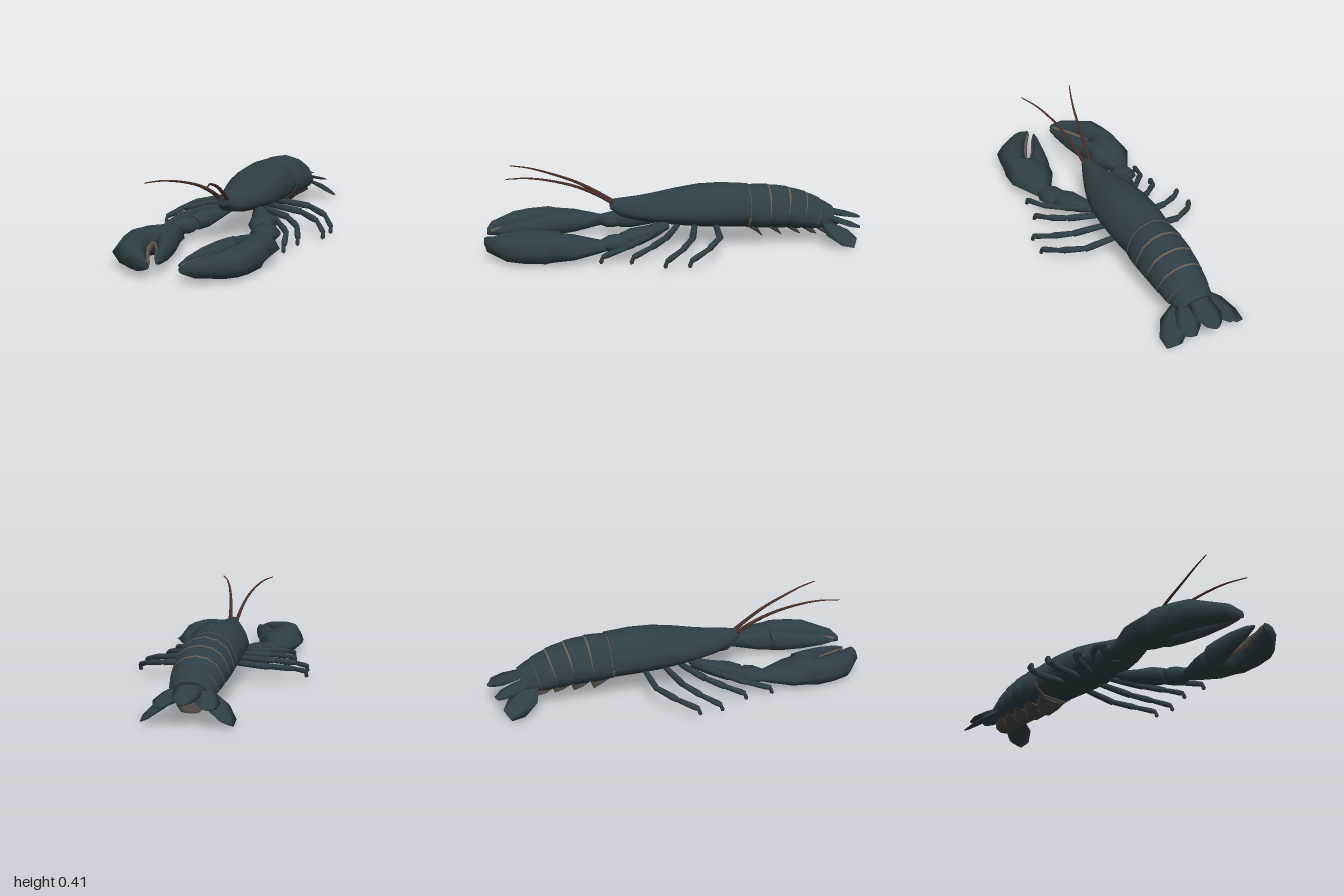
import * as THREE from 'three';

const shell = new THREE.MeshStandardMaterial({ color: 0x2f3f46, side: THREE.DoubleSide });
const pale = new THREE.MeshStandardMaterial({ color: 0x665c53, side: THREE.DoubleSide });
const belly = new THREE.MeshStandardMaterial({ color: 0x4a4641, side: THREE.DoubleSide });
const feeler = new THREE.MeshStandardMaterial({ color: 0x4a302a });

// Unit cross-sections, counter-clockwise, each coordinate in -1..1
const ARCH = [[0, 1], [-0.4, 0.88], [-0.74, 0.55], [-0.93, 0], [-1, -0.4], [-0.85, -0.75], [-0.55, -1],
  [0.55, -1], [0.85, -0.75], [1, -0.4], [0.93, 0], [0.74, 0.55], [0.4, 0.88]];
const LENS = [[1, 0], [0.6, 0.78], [0, 1], [-0.6, 0.78], [-1, 0], [-0.6, -0.78], [0, -1], [0.6, -0.78]];
const HEX = [[1, 0], [0.5, 0.87], [-0.5, 0.87], [-1, 0], [-0.5, -0.87], [0.5, -0.87]];

// Closed skin through equal rings of points; winding is turned so it always faces outward
function loft(name, rings, material, parent) {
  const n = rings[0].length, pos = [], idx = [];
  rings.forEach((r) => r.forEach((p) => pos.push(p.x, p.y, p.z)));
  for (let i = 0; i < rings.length - 1; i++) {
    for (let j = 0; j < n; j++) {
      const a = i * n + j, b = i * n + (j + 1) % n;
      idx.push(a, b, b + n, a, b + n, a + n);
    }
  }
  // end caps with their own vertices keep the rim crisp
  [[rings[0], true], [rings[rings.length - 1], false]].forEach(([r, first]) => {
    const base = pos.length / 3, c = new THREE.Vector3();
    r.forEach((p) => { pos.push(p.x, p.y, p.z); c.addScaledVector(p, 1 / n); });
    pos.push(c.x, c.y, c.z);
    for (let j = 0; j < n; j++) {
      const a = base + j, b = base + (j + 1) % n;
      idx.push(base + n, first ? b : a, first ? a : b);
    }
  });
  const v = (i) => new THREE.Vector3().fromArray(pos, i * 3).sub(rings[0][0]);
  let volume = 0;
  for (let i = 0; i < idx.length; i += 3) volume += v(idx[i]).dot(v(idx[i + 1]).cross(v(idx[i + 2])));
  if (volume < 0) idx.reverse();
  const g = new THREE.BufferGeometry();
  g.setAttribute('position', new THREE.Float32BufferAttribute(pos, 3));
  g.setIndex(idx);
  g.computeVertexNormals();
  const mesh = new THREE.Mesh(g, material);
  mesh.name = name;
  parent.add(mesh);
  return mesh;
}

// Upright rings given as [x0, x1, y0, y1, z]; s mirrors across x
const slabs = (list, profile, s = 1) => list.map(([x0, x1, y0, y1, z]) => profile.map(([u, w]) =>
  new THREE.Vector3(s * ((x0 + x1) / 2 + u * (x1 - x0) / 2), (y0 + y1) / 2 + w * (y1 - y0) / 2, z)));

// Rings square to a path given as [x, y, z, halfWidth, halfHeight]
function along(list, profile, s = 1) {
  const pts = list.map(([x, y, z]) => new THREE.Vector3(s * x, y, z));
  return list.map(([, , , w, h], i) => {
    const t = pts[Math.min(i + 1, pts.length - 1)].clone().sub(pts[Math.max(i - 1, 0)]).normalize();
    const side = new THREE.Vector3(0, 1, 0).cross(t).normalize();
    const up = t.clone().cross(side);
    return profile.map(([a, b]) => pts[i].clone().addScaledVector(side, a * w).addScaledVector(up, b * h));
  });
}

function group(name, parent) {
  const g = new THREE.Group();
  g.name = name;
  parent.add(g);
  return g;
}

function addBody(root) {
  loft('carapace', slabs([
    [-0.025, 0.025, 0.205, 0.255, 0.35], [-0.05, 0.05, 0.165, 0.262, 0.29], [-0.085, 0.085, 0.145, 0.27, 0.2],
    [-0.118, 0.118, 0.135, 0.285, 0.1], [-0.14, 0.14, 0.125, 0.305, 0], [-0.15, 0.15, 0.115, 0.325, -0.12],
    [-0.15, 0.15, 0.11, 0.33, -0.24], [-0.138, 0.138, 0.105, 0.322, -0.38],
  ], ARCH), shell, root);

  // Abdomen: overlapping rings with pale seams
  const abdomen = group('abdomen', root);
  const path = [[0.208, -0.375, 0.138, 0.108], [0.206, -0.48, 0.143, 0.108], [0.197, -0.58, 0.138, 0.102],
    [0.178, -0.67, 0.129, 0.093], [0.155, -0.75, 0.115, 0.078], [0.135, -0.83, 0.09, 0.052]];
  for (let i = 0; i < path.length - 1; i++) {
    const [y, z, w, h] = path[i], [y2, z2, w2, h2] = path[i + 1];
    const at = (k, grow) => [0, y + (y2 - y) * k, z + (z2 - z) * k,
      (w + (w2 - w) * k) * grow, (h + (h2 - h) * k) * grow];
    loft('abdomenRing', along([at(0, 0.95), at(0.12, 0.99), at(0.5, 1.02), at(1.03, 1.02)], ARCH), shell, abdomen);
    loft('abdomenSeam', along([at(-0.05, 1), at(0.07, 1)], ARCH), pale, abdomen);
    // belly plate leaning back and down
    const b = y - h + 0.012;
    loft('bellyPlate', slabs([
      [-w * 0.65, w * 0.65, b - 0.025, b + 0.02, z - 0.01],
      [-w * 0.6, w * 0.6, b - 0.05, b - 0.01, z - 0.05],
      [-0.04, 0.04, b - 0.078 + i * 0.006, b - 0.068 + i * 0.006, z - 0.085],
    ], LENS), belly, abdomen);
  }

  // Tail fan: one middle plate and two drooping plates on each side
  const fan = group('tailFan', root);
  loft('middleTailPlate', along([[0, 0.165, -0.79, 0.045, 0.012], [0, 0.155, -0.85, 0.062, 0.012],
    [0, 0.137, -0.93, 0.066, 0.01], [0, 0.125, -0.98, 0.04, 0.008], [0, 0.12, -1, 0.012, 0.004]], HEX), shell, fan);
  for (const s of [1, -1]) {
    loft('innerTailPlate', along([[0.05, 0.145, -0.79, 0.03, 0.01], [0.075, 0.128, -0.85, 0.052, 0.01],
      [0.1, 0.108, -0.92, 0.056, 0.008], [0.115, 0.095, -0.97, 0.025, 0.004]], HEX, s), shell, fan);
    // outer plates are rolled so the outside edge hangs low
    const rings = along([[0.07, 0.125, -0.78, 0.03, 0.01], [0.12, 0.095, -0.82, 0.065, 0.01],
      [0.155, 0.075, -0.88, 0.066, 0.008], [0.18, 0.06, -0.93, 0.035, 0.005]], HEX, s);
    rings.flat().forEach((p) => { p.y -= Math.max(0, Math.abs(p.x) - 0.12) * 0.55; });
    loft('outerTailPlate', rings, shell, fan);
  }
}

function addClawArm(root, s) {
  const arm = group(s > 0 ? 'leftClawArm' : 'rightClawArm', root);
  loft('upperArm', along([[0.08, 0.13, 0.06, 0.03, 0.025], [0.125, 0.11, 0.14, 0.05, 0.035],
    [0.165, 0.095, 0.23, 0.072, 0.045], [0.19, 0.085, 0.29, 0.06, 0.038]], LENS, s), shell, arm);
  loft('wrist', along([[0.195, 0.085, 0.27, 0.045, 0.03], [0.212, 0.083, 0.31, 0.075, 0.042],
    [0.225, 0.08, 0.35, 0.075, 0.042], [0.24, 0.078, 0.4, 0.045, 0.028]], LENS, s), shell, arm);
  loft('palmAndFixedFinger', slabs([
    [0.2, 0.275, 0.05, 0.1, 0.37], [0.185, 0.305, 0.04, 0.11, 0.42], [0.12, 0.37, 0.018, 0.132, 0.54],
    [0.105, 0.37, 0.006, 0.145, 0.64], [0.215, 0.36, 0.004, 0.147, 0.68], [0.182, 0.346, 0.004, 0.145, 0.79],
    [0.145, 0.33, 0.012, 0.137, 0.87], [0.085, 0.195, 0.035, 0.112, 0.98], [0.07, 0.1, 0.055, 0.09, 1],
  ], LENS, s), shell, arm);
  loft('movingFinger', slabs([
    [0.107, 0.23, 0.02, 0.135, 0.61], [0.09, 0.21, 0.018, 0.137, 0.68], [0.07, 0.14, 0.03, 0.127, 0.79],
    [0.055, 0.092, 0.05, 0.108, 0.9], [0.05, 0.062, 0.07, 0.085, 0.96],
  ], LENS, s), shell, arm);
  // pale biting edges facing the slit
  loft('fixedBitingEdge', slabs([[0.21, 0.23, 0.06, 0.09, 0.68], [0.174, 0.2, 0.055, 0.095, 0.79],
    [0.137, 0.17, 0.06, 0.09, 0.87], [0.077, 0.1, 0.065, 0.085, 0.98]], HEX, s), pale, arm);
  loft('movingBitingEdge', slabs([[0.19, 0.216, 0.06, 0.09, 0.68], [0.12, 0.147, 0.06, 0.095, 0.79],
    [0.075, 0.098, 0.068, 0.09, 0.9], [0.056, 0.065, 0.074, 0.082, 0.955]], HEX, s), pale, arm);
}

// Walking legs as [x, z] of hip, knee, ankle, tip
const LEGS = [
  [[0.08, -0.2], [0.27, -0.195], [0.385, -0.12], [0.445, -0.03]],
  [[0.08, -0.09], [0.27, -0.055], [0.38, 0.01], [0.44, 0.09]],
  [[0.08, 0], [0.24, 0.075], [0.325, 0.16], [0.36, 0.25]],
  [[0.07, 0.06], [0.22, 0.17], [0.31, 0.28], [0.34, 0.4]],
];

function addLegs(root, s) {
  const legs = group(s > 0 ? 'leftLegs' : 'rightLegs', root);
  LEGS.forEach(([hip, knee, ankle, tip]) => {
    const leg = group('walkingLeg', legs);
    const joints = [[hip[0], 0.125, hip[1]], [knee[0], 0.108, knee[1]], [ankle[0], 0.085, ankle[1]],
      [tip[0], 0.05, tip[1]], [tip[0] + 0.002, 0.015, tip[1] + 0.012]];
    const sizes = [[0.018, 0.017], [0.017, 0.013], [0.015, 0.012], [0.011, 0.002]];
    sizes.forEach(([r0, r1], i) => {
      const a = joints[i], b = joints[i + 1];
      const at = (k) => a.map((c, j) => c + (b[j] - c) * k);
      loft('legSegment', along([[...at(-0.04), r0 * 0.7, r0 * 0.7], [...at(0.12), r0 * 0.85, r0 * 0.85],
        [...at(0.8), r0, r0], [...at(1.02), r1, r1]], HEX, s), shell, leg);
    });
  });
}

function addAntenna(root, s) {
  const pts = [[0.018, 0.235, 0.33], [0.03, 0.29, 0.42], [0.05, 0.342, 0.53], [0.08, 0.382, 0.66],
    [0.115, 0.405, 0.77], [0.153, 0.411, 0.87]].map(([x, y, z]) => new THREE.Vector3(s * x, y, z));
  const curve = new THREE.CatmullRomCurve3(pts);
  const path = Array.from({ length: 17 }, (_, i) => {
    const p = curve.getPoint(i / 16), r = 0.011 - 0.0085 * i / 16;
    return [p.x, p.y, p.z, r, r];
  });
  loft('antenna', along(path, HEX), feeler, root);
}

export function createModel() {
  const root = new THREE.Group();
  root.name = 'lobster';
  addBody(root);
  for (const s of [1, -1]) {
    addClawArm(root, s);
    addLegs(root, s);
    addAntenna(root, s);
  }
  return root;
}
